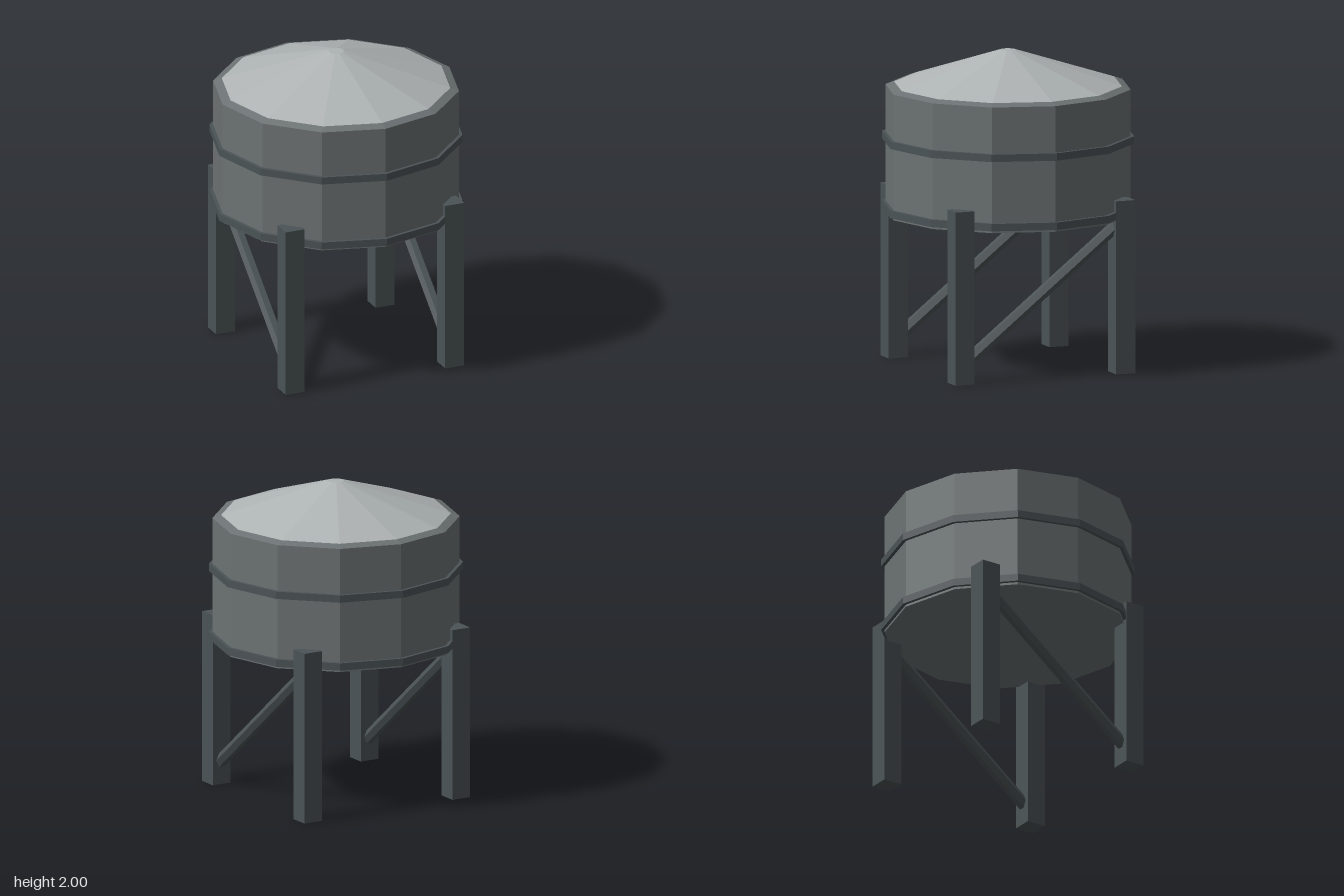
import * as THREE from 'three';

const SIDES = 12;

function material(color) {
  return new THREE.MeshStandardMaterial({ color, flatShading: true });
}

export function createModel() {
  const tank = new THREE.Group();
  tank.name = 'waterTank';
  const wall = material(0x6c7273);
  const roofing = material(0xaeb3b4);
  const steel = material(0x4b5356);

  const add = (name, geometry, mat, x, y, z) => {
    const mesh = new THREE.Mesh(geometry, mat);
    mesh.name = name;
    mesh.position.set(x, y, z);
    tank.add(mesh);
    return mesh;
  };

  // Twelve-sided ring or drum between two heights
  const drum = (name, rBottom, rTop, y0, y1, mat) =>
    add(name, new THREE.CylinderGeometry(rTop, rBottom, y1 - y0, SIDES), mat, 0, (y0 + y1) / 2, 0);

  // Drum with its sloping rim and shallow roof
  drum('body', 0.775, 0.775, 0.965, 1.763, wall);
  drum('rim', 0.775, 0.72, 1.763, 1.782, wall);
  drum('roof', 0.72, 0.05, 1.782, 2, roofing);

  // Hoops around the drum
  drum('lowerBand', 0.797, 0.797, 0.98, 1.027, steel);
  drum('upperBand', 0.797, 0.797, 1.42, 1.467, steel);

  // Four square posts and one diagonal brace on each side
  const up = new THREE.Vector3(0, 1, 0);
  for (const sx of [-1, 1]) {
    const side = sx > 0 ? 'left' : 'right';
    for (const sz of [-1, 1]) {
      const end = sz > 0 ? 'Front' : 'Back';
      add(`${side}${end}Leg`, new THREE.BoxGeometry(0.13, 1.1, 0.13), steel, sx * 0.545, 0.55, sz * 0.545);
    }
    const foot = new THREE.Vector3(sx * 0.545, 0.12, 0.525);
    const head = new THREE.Vector3(sx * 0.545, 0.95, -0.525);
    const span = head.clone().sub(foot);
    const bar = new THREE.CylinderGeometry(0.04, 0.04, span.length(), 6);
    bar.rotateY(Math.PI / 2);
    const middle = foot.clone().add(head).multiplyScalar(0.5);
    const brace = add(`${side}Brace`, bar, steel, middle.x, middle.y, middle.z);
    brace.quaternion.setFromUnitVectors(up, span.normalize());
  }
  return tank;
}
